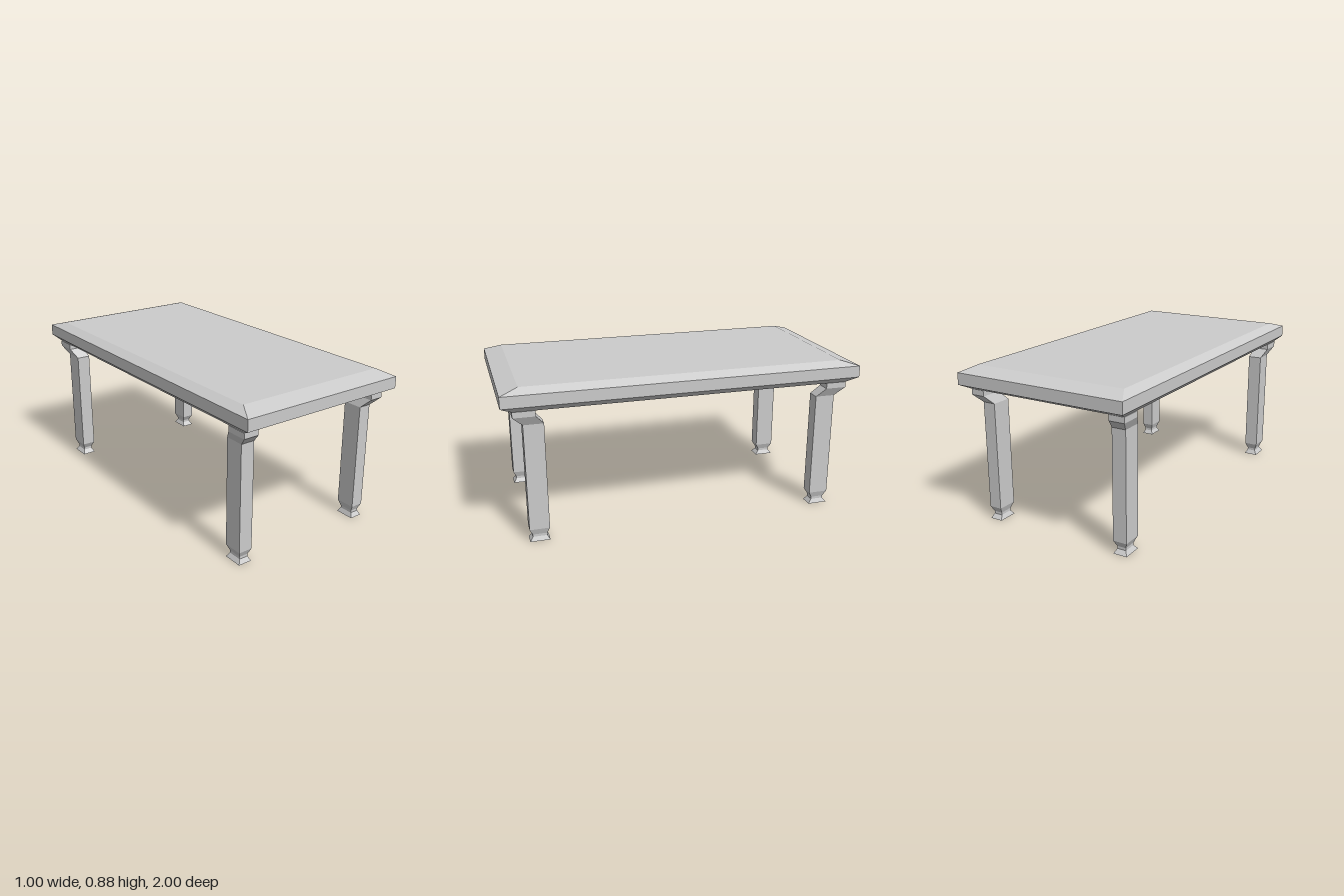
import * as THREE from 'three';

// Solid lofted through rectangular rings [y, x0, x1, z0, z1], listed bottom to top
function loftRects(rings) {
  const pos = [], idx = [];
  for (const [y, x0, x1, z0, z1] of rings) {
    pos.push(x0, y, z1, x1, y, z1, x1, y, z0, x0, y, z0);
  }
  for (let r = 0; r < rings.length - 1; r++) {
    for (let i = 0; i < 4; i++) {
      const a = r * 4 + i, b = r * 4 + (i + 1) % 4;
      idx.push(a, b, b + 4, a, b + 4, a + 4);
    }
  }
  const t = (rings.length - 1) * 4;
  idx.push(0, 2, 1, 0, 3, 2, t, t + 1, t + 2, t, t + 2, t + 3);
  const g = new THREE.BufferGeometry();
  g.setAttribute('position', new THREE.Float32BufferAttribute(pos, 3));
  g.setIndex(idx);
  const flat = g.toNonIndexed();
  flat.computeVertexNormals();
  return flat;
}

export function createModel() {
  const group = new THREE.Group();
  group.name = 'table';
  const material = new THREE.MeshStandardMaterial({ color: 0xcccccc, flatShading: true });
  const add = (name, rings) => {
    const mesh = new THREE.Mesh(loftRects(rings), material);
    mesh.name = name;
    group.add(mesh);
  };

  // Slab with chamfered upper and lower edges
  const slab = [[0.757, 0.467, 0.937], [0.788, 0.5, 1], [0.853, 0.5, 1], [0.882, 0.447, 0.9]];
  add('tableTop', slab.map(([y, x, z]) => [y, -x, x, -z, z]));

  // Inner and outer extents of the foot/shaft, neck and bracket of each leg
  const xSpans = {
    left: { shaft: [0.368, 0.441], neck: [0.38, 0.43], bracket: [0.39, 0.468] },
    right: { shaft: [-0.443, -0.364], neck: [-0.428, -0.377], bracket: [-0.47, -0.383] },
  };
  const zSpans = {
    front: { shaft: [0.777, 0.887], neck: [0.792, 0.871], bracket: [0.82, 0.94] },
    back: { shaft: [-0.882, -0.77], neck: [-0.863, -0.79], bracket: [-0.936, -0.818] },
  };

  // Legs: flared foot, narrow neck, straight shaft, bracket leaning outward
  const levels = [
    [0, 'shaft'], [0.024, 'neck'], [0.038, 'neck'], [0.072, 'shaft'],
    [0.674, 'shaft'], [0.725, 'bracket'], [0.757, 'bracket'],
  ];
  for (const [zName, z] of Object.entries(zSpans)) {
    for (const [xName, x] of Object.entries(xSpans)) {
      const side = xName[0].toUpperCase() + xName.slice(1);
      add(`${zName}${side}Leg`, levels.map(([y, part]) => [y, ...x[part], ...z[part]]));
    }
  }
  return group;
}
